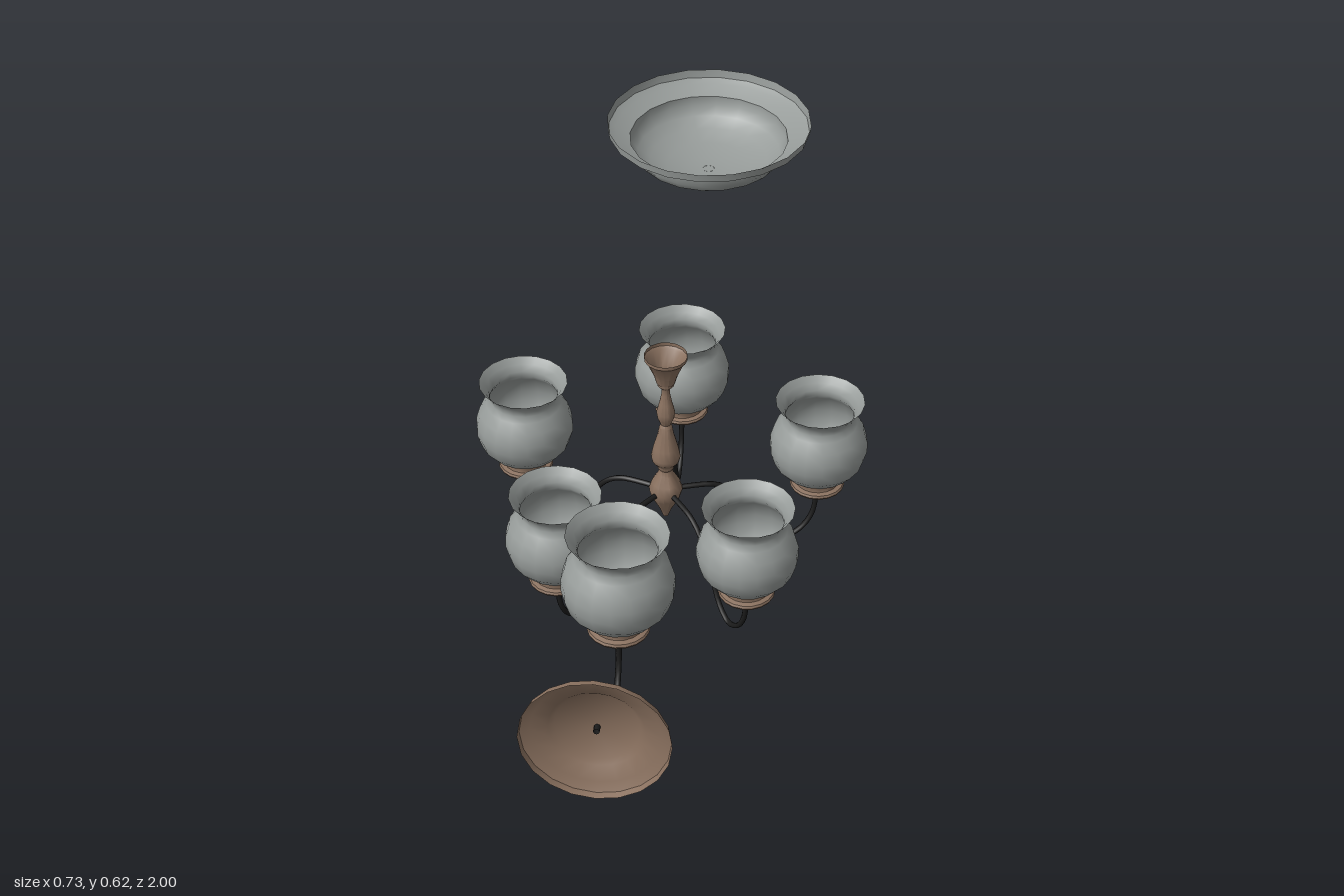
import * as THREE from 'three';
import { toCreasedNormals } from 'three/addons/utils/BufferGeometryUtils.js';

const glass = new THREE.MeshStandardMaterial({ name: 'grey glass', color: 0x979c9a, side: THREE.DoubleSide });
const bronze = new THREE.MeshStandardMaterial({ name: 'brown bronze', color: 0x8a715f, side: THREE.DoubleSide });
const iron = new THREE.MeshStandardMaterial({ name: 'black iron', color: 0x1b1b1b, side: THREE.DoubleSide });

// Turned part from [radius, height] pairs, listed bottom to top
function turned(name, profile, sides, material) {
  const points = profile.map(([r, y]) => new THREE.Vector2(r, y));
  const geometry = toCreasedNormals(new THREE.LatheGeometry(points, sides), 0.75);
  const mesh = new THREE.Mesh(geometry, material);
  mesh.name = name;
  return mesh;
}

// One curved arm reaching towards -z, with its holder, shade and bulb
function createLampArm(name) {
  const group = new THREE.Group();
  group.name = name;
  const path = [
    [0.015, 0.157], [0.06, 0.157], [0.09, 0.154], [0.118, 0.14], [0.148, 0.105], [0.172, 0.065],
    [0.195, 0.026], [0.227, 0.0055], [0.26, 0.022], [0.281, 0.056], [0.288, 0.102],
  ].map(([r, y]) => new THREE.Vector3(0, y, -r));
  const arm = new THREE.Mesh(
    new THREE.TubeGeometry(new THREE.CatmullRomCurve3(path), 28, 0.005, 8), iron);
  arm.name = 'arm';

  const lamp = new THREE.Group();
  lamp.name = 'lamp';
  lamp.position.z = -0.288;
  lamp.add(
    turned('holder', [
      [0, 0.098], [0.01, 0.099], [0.026, 0.11], [0.049, 0.123], [0.051, 0.127], [0.049, 0.131],
      [0.041, 0.133], [0.041, 0.145], [0.044, 0.15], [0, 0.15],
    ], 18, bronze),
    turned('shade', [
      [0, 0.152], [0.045, 0.152], [0.066, 0.162], [0.082, 0.181], [0.09, 0.207], [0.09, 0.228],
      [0.083, 0.252], [0.07, 0.27], [0.063, 0.281], [0.064, 0.291], [0.071, 0.303], [0.082, 0.315],
    ], 18, glass),
    turned('bulb', [
      [0.014, 0.152], [0.016, 0.17], [0.026, 0.188], [0.026, 0.2], [0.018, 0.214], [0.006, 0.22], [0, 0.221],
    ], 12, glass),
  );
  group.add(arm, lamp);
  return group;
}

export function createModel() {
  const model = new THREE.Group();
  model.name = 'lightFixtures';

  // Chandelier: turned column with five arms
  const chandelier = new THREE.Group();
  chandelier.name = 'chandelier';
  chandelier.position.z = 0.012;
  chandelier.add(turned('column', [
    [0, 0.094], [0.005, 0.096], [0.012, 0.115], [0.026, 0.142], [0.031, 0.16], [0.026, 0.176],
    [0.015, 0.195], [0.012, 0.205], [0.015, 0.209], [0.015, 0.214], [0.025, 0.226], [0.027, 0.236],
    [0.023, 0.256], [0.015, 0.285], [0.012, 0.302], [0.009, 0.308], [0.015, 0.322], [0.017, 0.335],
    [0.012, 0.355], [0.008, 0.375], [0.008, 0.388], [0.015, 0.396], [0.015, 0.402],
  ], 16, bronze));
  chandelier.add(turned('ceilingCup', [
    [0, 0.402], [0.017, 0.402], [0.022, 0.42], [0.035, 0.45], [0.039, 0.454], [0.039, 0.461],
  ], 16, bronze));
  for (let i = 0; i < 5; i++) {
    const arm = createLampArm('chandelierArm' + (i + 1));
    arm.rotation.y = (i * 2 * Math.PI) / 5;
    chandelier.add(arm);
  }

  // Wall lamp: the same arm on a round open-backed plate
  const wallLamp = new THREE.Group();
  wallLamp.name = 'wallLamp';
  wallLamp.position.set(0, 0.303, 0.992);
  const plate = turned('wallPlate', [
    [0, 0], [0.066, 0], [0.074, 0.007], [0.1, 0.016], [0.115, 0.024], [0.117, 0.035],
  ], 20, bronze);
  plate.rotation.x = Math.PI / 2;
  plate.position.set(0, 0.157, -0.027);
  wallLamp.add(createLampArm('wallArm'), plate);

  // Ceiling lamp: wide stepped bowl with a small knob below
  const ceilingLamp = new THREE.Group();
  ceilingLamp.name = 'ceilingLamp';
  ceilingLamp.position.z = -0.795;
  ceilingLamp.add(
    turned('bowl', [
      [0, 0.347], [0.04, 0.349], [0.085, 0.357], [0.12, 0.37], [0.145, 0.386], [0.159, 0.404],
      [0.16, 0.423], [0.19, 0.435], [0.203, 0.443], [0.206, 0.46],
    ], 20, glass),
    turned('knob', [[0, 0.34], [0.009, 0.342], [0.012, 0.348]], 10, glass),
  );

  model.add(chandelier, wallLamp, ceilingLamp);
  return model;
}
